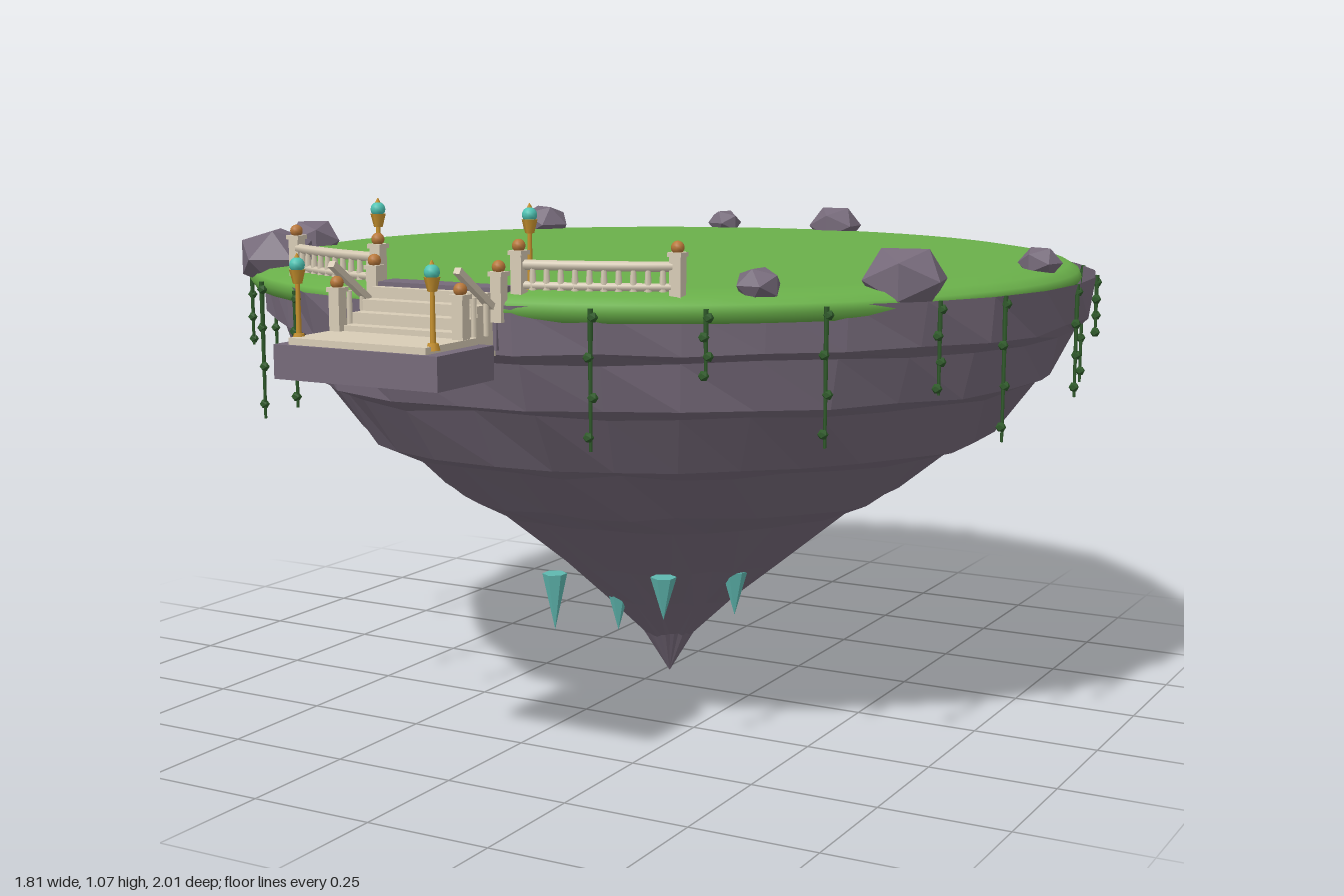
import * as THREE from 'three';

const mat = (name, color, extra = {}) => {
  const m = new THREE.MeshStandardMaterial({ color, ...extra });
  m.name = name;
  return m;
};

export function createModel() {
  const model = new THREE.Group();
  model.name = 'floatingIsland';
  const M = {
    grass: mat('grass green', 0x6ab04a),
    rock: mat('purple rock', 0x766a7a, { side: THREE.DoubleSide }),
    stone: mat('pale stone', 0xd8ccb6),
    copper: mat('copper', 0xb8783a),
    gold: mat('gold', 0xc8922e),
    crystal: mat('teal crystal', 0x5fb8b0),
    glow: mat('lamp glow', 0x4fc4b4),
    vine: mat('vine green', 0x2f5a2a),
  };
  const CZ = -0.1, CX = -0.006, TOP = 0.925;
  let seed = 7;
  const rand = () => (seed = (seed * 16807) % 2147483647) / 2147483647;

  const group = (name, parent = model) => {
    const g = new THREE.Group();
    g.name = name;
    parent.add(g);
    return g;
  };
  const add = (parent, name, geo, material, x = 0, y = 0, z = 0) => {
    const m = new THREE.Mesh(geo, material);
    m.name = name;
    m.position.set(x, y, z);
    parent.add(m);
    return m;
  };
  const box = (p, name, m, w, h, d, x, y, z) => add(p, name, new THREE.BoxGeometry(w, h, d), m, x, y, z);
  const rod = (p, name, m, r0, r1, y0, y1, x, z, n = 8) =>
    add(p, name, new THREE.CylinderGeometry(r1, r0, y1 - y0, n), m, x, (y0 + y1) / 2, z);

  // Layered rock underside: open bowl of rings with an uneven outline
  const outline = [.9, .9, .88, .85, .85, .87, .87, .92, .86, .84, .86, .88,
    .88, .9, .9, .905, .91, .9, .9, .88, .9, .87, .88, .9];
  const rimRadius = (t) => {
    const f = (((t % 1) + 1) % 1) * 24, i = Math.floor(f);
    return THREE.MathUtils.lerp(outline[i % 24], outline[(i + 1) % 24], f - i);
  };
  const layers = [[.9, .885], [.815, .873], [.795, .838], [.705, .81], [.685, .768], [.575, .69],
    [.55, .62], [.445, .5], [.4, .405], [.28, .255], [.19, .15], [.1, .055], [.01, 0]];
  const SEG = 36, pos = [], index = [];
  layers.forEach(([y, r], i) => {
    for (let j = 0; j < SEG; j++) {
      const t = j / SEG, a = t * Math.PI * 2;
      const rr = r * (rimRadius(t) / 0.885) * (i ? 1 + (rand() - 0.5) * 0.025 : 1);
      const drift = 0.015 * Math.max(0, 1 - y / 0.4);
      const dy = i && r ? (rand() - 0.5) * 0.01 : 0;
      pos.push(Math.cos(a) * rr + drift, y + dy, CZ + Math.sin(a) * rr + drift);
      if (i < layers.length - 1) {
        const A = i * SEG + j, B = i * SEG + (j + 1) % SEG;
        index.push(A, B, A + SEG, B, B + SEG, A + SEG);
      }
    }
  });
  let rockGeo = new THREE.BufferGeometry();
  rockGeo.setAttribute('position', new THREE.Float32BufferAttribute(pos, 3));
  rockGeo.setIndex(index);
  rockGeo = rockGeo.toNonIndexed();
  rockGeo.computeVertexNormals();
  add(model, 'rockUnderside', rockGeo, M.rock);

  // Grass cap with a rounded rim
  const cap = [[0, .872], [.86, .872], [.872, .89], [.866, .905], [.845, .917], [.8, .924], [.77, TOP], [0, TOP]];
  add(model, 'grassTop', new THREE.LatheGeometry(cap.map(p => new THREE.Vector2(...p)), 64), M.grass, CX, 0, CZ);

  // Boulders around the rim: x, z, radius
  const boulders = group('boulders');
  [[.03, -.915, .064], [-.255, -.875, .043], [-.63, -.62, .064], [-.8, .085, .063],
    [-.58, .485, .083], [.705, .31, .083], [.52, .53, .044], [.81, -.135, .044]].forEach(([x, z, r], i) => {
    const b = add(boulders, 'boulder', new THREE.IcosahedronGeometry(r, 0), M.rock, x, 0.935, z);
    b.scale.y = 0.78;
    b.rotation.y = i * 1.3;
  });

  // Hanging vines: angle in degrees, with leaf clumps down each stem
  const vines = group('vines');
  [0, 18, 28, 43, 57, 70, 112, 125, 150, 162, 180, 194, 207, 221, 236, 251, 266, 281, 295, 307, 319, 333, 347]
    .forEach((deg, i) => {
      const a = deg * Math.PI / 180, r = Math.max(.88, rimRadius(deg / 360) + 0.004);
      const x = CX + Math.cos(a) * r, z = CZ + Math.sin(a) * r;
      const len = [.25, .17, .27, .22, .25, .12][(i * 5 + 3) % 6];
      const v = group('vine', vines);
      rod(v, 'stem', M.vine, .003, .005, .9 - len, .9, x, z, 5);
      for (let k = 0; k < 4; k++) {
        const s = k % 2 ? 1 : -1;
        add(v, 'leaf', new THREE.IcosahedronGeometry(.01, 0), M.vine,
          x - Math.sin(a) * .004 * s, .885 - len * k * .28, z + Math.cos(a) * .004 * s);
      }
    });

  // Crystals below: x, z, top, tip
  const crystals = group('crystals');
  [[-.285, -.295, .245, .14], [-.19, .06, .235, .11], [-.11, -.19, .2, .115], [-.04, .045, .225, .125],
    [.14, .175, .29, .2], [.215, 0, .275, .18], [.03, -.31, .295, .2]].forEach(([x, z, top, tip]) => {
    const g = new THREE.ConeGeometry(.027, top - tip, 6).toNonIndexed();
    g.computeVertexNormals();
    add(crystals, 'crystal', g, M.crystal, x, (top + tip) / 2, z).rotation.x = Math.PI;
  });

  // Entrance: landing, stairs and upper threshold
  const entrance = group('entrance');
  entrance.position.x = CX;
  box(entrance, 'landingBase', M.rock, .34, .06, .17, 0, .81, .915);
  box(entrance, 'landingPaving', M.stone, .285, .012, .155, 0, .846, .915);
  box(entrance, 'threshold', M.rock, .26, .11, .06, 0, .875, .73);
  for (let i = 0; i < 4; i++) {
    const top = .862 + i * .02;
    box(entrance, 'step', M.stone, .245, top - .81, .032, 0, (top + .81) / 2, .852 - i * .03);
  }

  const post = (p, x, z, y0, y1) => {
    const g = group('post', p);
    box(g, 'postShaft', M.stone, .022, y1 - y0, .022, x, (y0 + y1) / 2, z);
    box(g, 'postCap', M.stone, .028, .008, .028, x, y1, z);
    add(g, 'postBall', new THREE.SphereGeometry(.012, 10, 8), M.copper, x, y1 + .012, z);
  };
  const lamp = (p, x, z, y0) => {
    const g = group('lamp', p);
    rod(g, 'lampFoot', M.gold, .012, .009, y0, y0 + .012, x, z);
    rod(g, 'lampPole', M.gold, .005, .004, y0, y0 + .1, x, z);
    rod(g, 'lampLantern', M.gold, .008, .014, y0 + .098, y0 + .122, x, z, 6);
    add(g, 'lampGlow', new THREE.SphereGeometry(.0135, 10, 8), M.glow, x, y0 + .13, z);
    rod(g, 'lampTip', M.gold, .006, .001, y0 + .14, y0 + .15, x, z, 6);
  };

  const R = .832, A0 = .183, A1 = .522;
  for (const s of [-1, 1]) {
    const side = group(s > 0 ? 'leftRailings' : 'rightRailings', entrance);
    // Stair posts and the sloping handrail
    post(side, s * .13, .87, .85, .925);
    post(side, s * .133, .755, .87, .955);
    box(side, 'stairRail', M.stone, .013, .012, .125, s * .132, .935, .83).rotation.x = -.6;
    for (const z of [.795, .833]) rod(side, 'stairBaluster', M.stone, .005, .005, .85, .92, s * .132, z, 6);

    // Curved balustrade
    const at = (a, y) => new THREE.Vector3(s * Math.sin(a) * R, y, CZ + Math.cos(a) * R);
    for (const [y, r] of [[.969, .009], [.933, .007]]) {
      const pts = Array.from({ length: 7 }, (_, i) => at(A0 + (A1 - A0) * i / 6, y));
      add(side, 'curvedRail', new THREE.TubeGeometry(new THREE.CatmullRomCurve3(pts), 16, r, 6), M.stone);
    }
    for (let i = 1; i < 11; i++) {
      const p = at(A0 + (A1 - A0) * i / 11, 0);
      rod(side, 'baluster', M.stone, .007, .0045, .925, .968, p.x, p.z, 6);
    }
    for (const a of [A0, A1]) {
      const p = at(a, 0);
      post(side, p.x, p.z, .915, .99);
    }
    lamp(side, s * .163, .7, .925);
    lamp(side, s * .14, .967, .845);
  }
  return model;
}
